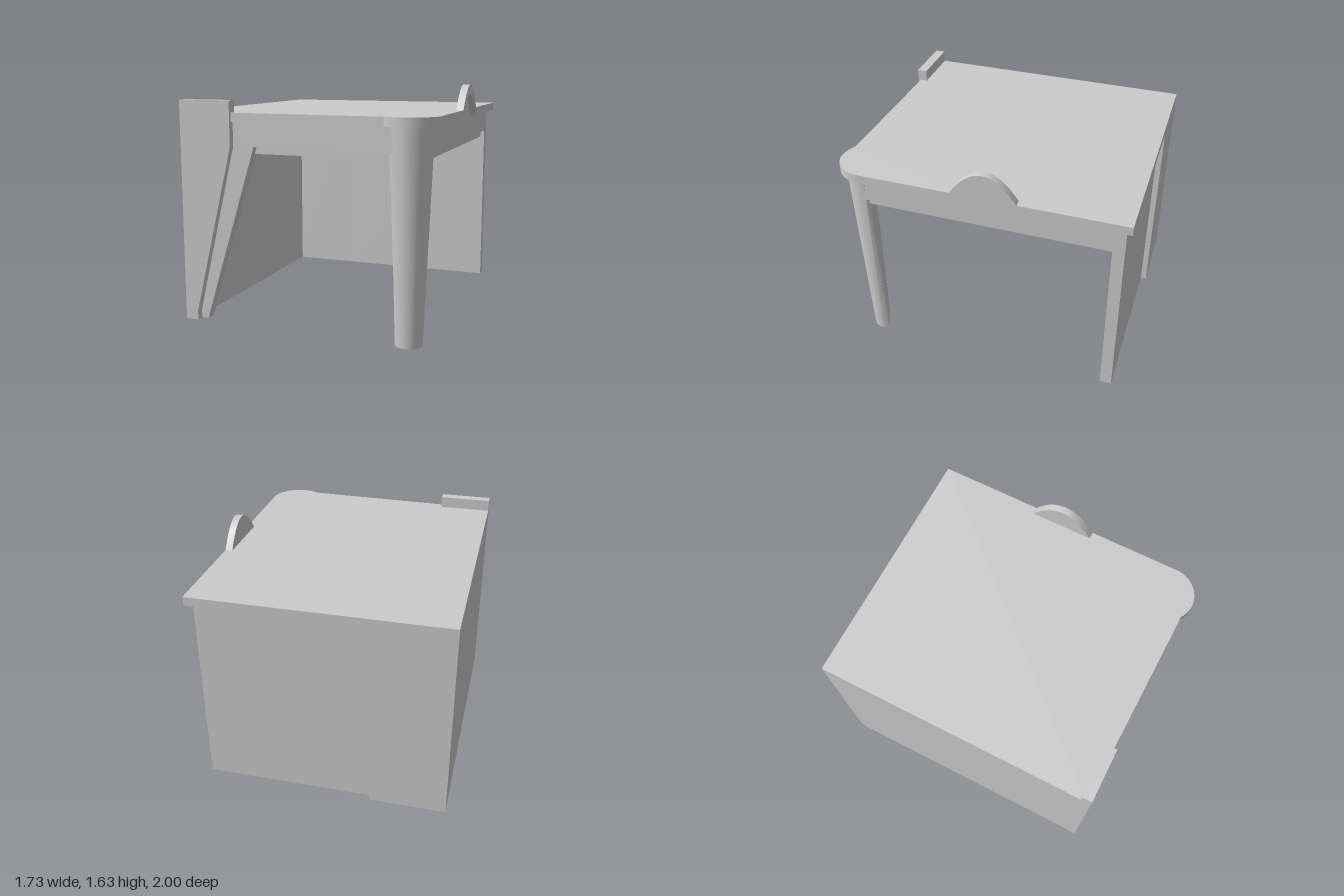
import * as THREE from 'three';
import { toCreasedNormals } from 'three/addons/utils/BufferGeometryUtils.js';

const material = new THREE.MeshStandardMaterial({ color: 0xcccccc });
const V = (x, y) => new THREE.Vector2(x, y);

export function createModel() {
  const group = new THREE.Group();
  const add = (name, geometry) => {
    const mesh = new THREE.Mesh(toCreasedNormals(geometry, 0.5), material);
    mesh.name = name;
    group.add(mesh);
    return mesh;
  };
  // Box given by its two extreme corners
  const box = (name, [x0, y0, z0], [x1, y1, z1]) => {
    const g = new THREE.BoxGeometry(x1 - x0, y1 - y0, z1 - z0);
    g.translate((x0 + x1) / 2, (y0 + y1) / 2, (z0 + z1) / 2);
    return add(name, g);
  };
  const extrude = (points, depth) =>
    new THREE.ExtrudeGeometry(new THREE.Shape(points), { depth, bevelEnabled: false });

  // Table top: rounded front corner bulging over the leg, notch at the side arch
  const corner = [];
  for (let i = 0; i <= 20; i++) {
    const a = (i / 20) * THREE.MathUtils.degToRad(124);
    corner.push(V(0.66 + 0.2 * Math.cos(a), -(0.8 + 0.2 * Math.sin(a))));
  }
  const outline = [
    V(-0.87, 1), V(0.86, 1), V(0.86, 0.28), V(0.81, 0.28), V(0.81, -0.16), V(0.86, -0.16),
    ...corner, V(-0.5, -0.94), V(-0.87, -0.93),
  ].reverse();
  const top = extrude(outline, 0.06);
  top.rotateX(-Math.PI / 2);
  top.translate(0, 1.4, 0);
  add('tableTop', top);

  // Arch on the side edge: a parabolic rim with a thin panel behind it
  const arc = (base, height) => {
    const pts = [];
    for (let i = 0; i <= 18; i++) {
      const t = -1 + i / 9;
      pts.push(V(0.06 + 0.22 * t, base + height * (1 - t * t)));
    }
    return pts;
  };
  const sideExtrude = (points, x0, x1) => {
    const g = extrude(points, x1 - x0);
    g.rotateY(Math.PI / 2);
    g.translate(x0, 0, 0);
    return g;
  };
  add('archRim', sideExtrude([...arc(1.4, 0.16), ...arc(1.46, 0.17).reverse()], 0.81, 0.86));
  add('archPanel', sideExtrude([V(-0.16, 1.4), V(0.28, 1.4), ...arc(1.43, 0.165).reverse()], 0.81, 0.818));

  // Walls
  box('leftWall', [-0.87, 0.04, -1], [-0.81, 1.4, 0.9]);
  box('backWall', [-0.36, 0.04, -0.96], [0.815, 1.4, -0.88]);
  box('backWallThickPart', [-0.87, 0.04, -1], [-0.35, 1.4, -0.88]);

  // Aprons and the lower ceiling inside them
  box('sideApron', [0.75, 1.24, -0.9], [0.815, 1.4, 0.82]);
  box('ceiling', [-0.83, 1.19, -0.9], [0.785, 1.39, 0.87]);

  // Front frame: slanted post and apron, drifting forward toward the leg
  const frame = extrude([
    V(-0.86, 0.04), V(-0.73, 0.04), V(-0.35, 1.24), V(0.62, 1.24), V(0.62, 1.4), V(-0.86, 1.4),
  ], 0.07);
  const p = frame.attributes.position;
  for (let i = 0; i < p.count; i++) p.setZ(i, p.getZ(i) + 0.845 + 0.024 * (p.getX(i) + 0.5));
  add('frontFrame', frame);

  // Tapered panel standing above the top at the front
  const brace = extrude([
    V(-0.87, 0.04), V(-0.78, 0.04), V(-0.78, 0.1), V(-0.5, 1.24), V(-0.5, 1.54), V(-0.87, 1.54),
  ], 0.07);
  brace.translate(0, 0, 0.89);
  add('frontBrace', brace);

  // Corner leg: rounded outside, flat inside, widening upward
  const n = 24;
  const section = (y, cx, cz, r, minX) => {
    const pts = [];
    for (let i = 0; i < n; i++) {
      const a = THREE.MathUtils.degToRad(-34 + (199 * i) / (n - 1));
      pts.push(Math.max(minX, cx + r * Math.cos(a)), y, Math.max(0.77, cz + r * Math.sin(a)));
    }
    return pts;
  };
  const positions = [...section(0, 0.68, 0.82, 0.09, 0.59), ...section(1.4, 0.66, 0.8, 0.16, 0.565)];
  const index = [];
  for (let i = 0; i < n; i++) {
    const j = (i + 1) % n;
    index.push(i, n + i, j, j, n + i, n + j);
    if (i > 0 && i < n - 1) index.push(0, i, i + 1, n, n + i + 1, n + i);
  }
  const leg = new THREE.BufferGeometry();
  leg.setAttribute('position', new THREE.Float32BufferAttribute(positions, 3));
  leg.setIndex(index);
  add('cornerLeg', leg);

  return group;
}
